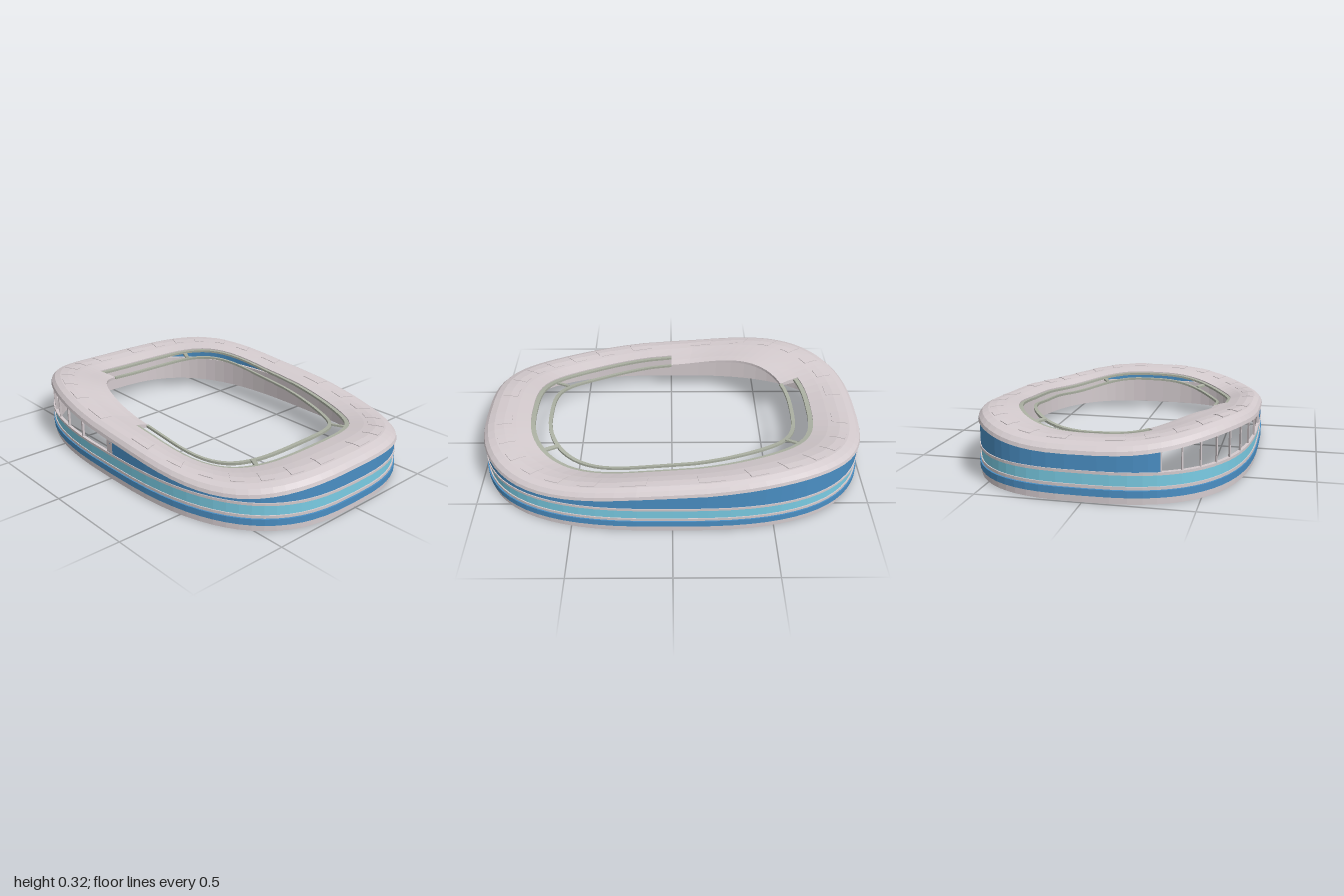
import * as THREE from 'three';

const material = (color) => new THREE.MeshStandardMaterial({ color, flatShading: true, side: THREE.DoubleSide });
const TAU = Math.PI * 2;
// The glazed sector, where the roof also reaches further inwards
const SECTOR_START = Math.PI;
const SECTOR_END = Math.PI + 1.194;
const FLOOR = 0.145; // top of the lower wall

// Rounded-rectangle plan (superellipse), scaled by s
const power = (v) => Math.sign(v) * Math.abs(v) ** (2 / 2.8);
const planPoint = (t, s, y) => [0.7 * s * power(Math.cos(t)), y, s * power(Math.sin(t))];

// Height of the roof crest: dips at the front corners, rises at the back ones
const crest = (t) => 0.265 - 0.13 * Math.sin(t) * (Math.cos(t) - 0.05) ** 2;
const wallTop = (t) => crest(t) - 0.05;

// Sweeps a cross-section of [scale, height] points around the plan
function sweep(name, mat, section, { from = 0, to = TAU, segments = 72, closed = true, caps = false } = {}) {
  const positions = [], index = [];
  const count = section(0).length;
  for (let i = 0; i <= segments; i++) {
    const t = from + ((to - from) * i) / segments;
    for (const [s, y] of section(t)) positions.push(...planPoint(t, s, y));
  }
  for (let i = 0; i < segments; i++) {
    for (let j = 0; j < (closed ? count : count - 1); j++) {
      const k = (j + 1) % count;
      const a = i * count + j, c = i * count + k;
      const b = a + count, d = c + count;
      index.push(a, c, b, b, c, d);
    }
  }
  if (caps) {
    const last = segments * count;
    for (let j = 1; j < count - 1; j++) {
      index.push(0, j + 1, j, last, last + j, last + j + 1);
    }
  }
  const geometry = new THREE.BufferGeometry();
  geometry.setAttribute('position', new THREE.Float32BufferAttribute(positions, 3));
  geometry.setIndex(index);
  geometry.computeVertexNormals();
  const mesh = new THREE.Mesh(geometry, mat);
  mesh.name = name;
  return mesh;
}

// Rectangular cross-sections: at fixed heights, or relative to the crest
const band = (inner, outer, y0, y1) => () => [[outer, y0], [outer, y1], [inner, y1], [inner, y0]];
const ledge = (inner, outer, top, thickness) => (t) => {
  const y = crest(t) + top;
  return [[outer, y - thickness], [outer, y], [inner, y], [inner, y - thickness]];
};

// Roof shell, as scale and drop below the crest
const ROOF_TOP = [[1, -0.05], [0.995, -0.033], [0.975, -0.014], [0.94, -0.003], [0.89, 0], [0.83, -0.006], [0.755, -0.02]];
const ROOF_EXTENSION = [[0.7, -0.029], [0.65, -0.04]];
const roofSection = (extended) => (t) => {
  const top = extended ? [...ROOF_TOP, ...ROOF_EXTENSION] : ROOF_TOP;
  const [s, d] = top[top.length - 1];
  const under = [[s, d - 0.014], [0.85, -0.04], [0.985, -0.052]];
  return [...top, ...under].map(([scale, drop]) => [scale, crest(t) + drop]);
};

export function createModel() {
  const model = new THREE.Group();
  model.name = 'arenaRing';
  const shell = material(0xd4cbce);
  const blue = material(0x4a8fc4);
  const cyan = material(0x7accE4);
  const walkway = material(0xabb0a2);
  const openRange = { from: SECTOR_END, to: SECTOR_START + TAU, segments: 60 };
  const sectorRange = { from: SECTOR_START, to: SECTOR_END, segments: 16 };

  // Lower wall and its horizontal bands
  model.add(
    sweep('lowerWall', shell, band(0.975, 0.985, 0, FLOOR)),
    sweep('baseBand', shell, band(0.98, 0.992, 0, 0.032)),
    sweep('lowerBlueBand', blue, band(0.98, 1, 0.032, 0.064)),
    sweep('middleTrim', shell, band(0.98, 0.994, 0.066, 0.08)),
    sweep('lightBlueBand', cyan, band(0.98, 0.988, 0.08, 0.132)),
    sweep('upperTrim', shell, band(0.975, 0.997, 0.132, FLOOR)),
  );

  // Upper blue wall, open in the glazed sector
  model.add(sweep('upperWall', blue, (t) => [[0.992, FLOOR], [0.992, wallTop(t)]], { ...openRange, closed: false }));

  // Window posts
  const windows = new THREE.Group();
  windows.name = 'windowPosts';
  const panes = 8;
  for (let i = 0; i <= panes; i++) {
    const t = SECTOR_START + ((SECTOR_END - SECTOR_START) * i) / panes;
    windows.add(sweep('windowPost', shell, (u) => [[0.992, FLOOR], [0.992, wallTop(u)], [0.978, wallTop(u)], [0.978, FLOOR]],
      { from: t - 0.005, to: t + 0.005, segments: 1, caps: true }));
  }
  model.add(windows);

  // Wavy roof and its deeper part over the glazed sector
  model.add(
    sweep('roof', shell, roofSection(false), openRange),
    sweep('deepRoof', shell, roofSection(true), { ...sectorRange, caps: true }),
  );

  // Raised roof panels
  const panels = new THREE.Group();
  panels.name = 'roofPanels';
  const panelCount = 28;
  for (let i = 0; i < panelCount; i++) {
    const t = ((i + 0.5) / panelCount) * TAU;
    const section = (u) => [[0.93, -0.004], [0.93, 0.001], [0.89, 0.003], [0.85, -0.001], [0.85, -0.006]]
      .map(([s, d]) => [s, crest(u) + d]);
    panels.add(sweep('roofPanel', shell, section, { from: t - 0.05, to: t + 0.05, segments: 2, caps: true }));
  }
  model.add(panels);

  // Inner rim, suspended walkway and the struts between them
  model.add(
    sweep('innerRim', walkway, ledge(0.73, 0.757, -0.026, 0.012), { ...openRange, caps: true }),
    sweep('walkwayRing', walkway, ledge(0.643, 0.663, -0.04, 0.012), { ...openRange, caps: true }),
  );
  for (const t of [1.04, Math.PI - 1.04, TAU - 1.0]) {
    model.add(sweep('walkwayStrut', walkway, ledge(0.66, 0.735, -0.033, 0.01),
      { from: t - 0.022, to: t + 0.022, segments: 1, caps: true }));
  }
  return model;
}
